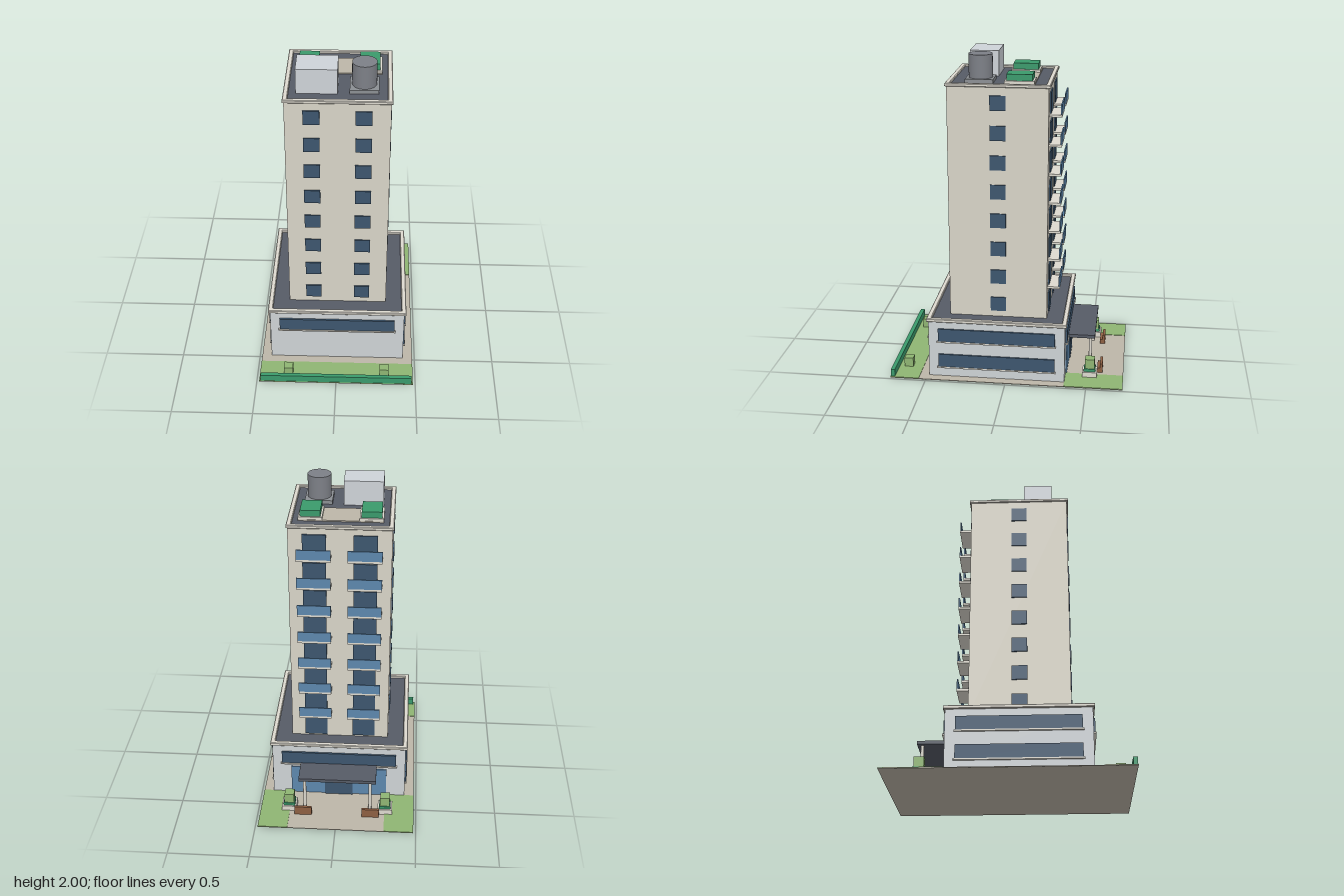
import * as THREE from 'three';

const COLORS = {
  tower: 0xd8d4c7, podium: 0xced3d6, trim: 0xdedad0, window: 0x3d566e, glass: 0x5d87ad,
  roof: 0x565b66, paving: 0xbdb6a8, lawn: 0x8fb573, hedge: 0x3a9a6c, wood: 0x8d5f42,
  unit: 0xced3d8, tank: 0x7d8087, plinth: 0x8c9094,
};
const mats = {};
for (const key in COLORS) mats[key] = new THREE.MeshStandardMaterial({ color: COLORS[key] });

export function createModel() {
  const model = new THREE.Group();
  model.name = 'towerBlock';

  const group = (name) => {
    const g = new THREE.Group();
    g.name = name;
    model.add(g);
    return g;
  };
  // box given by its minimum and maximum corners
  const box = (parent, name, mat, x0, x1, y0, y1, z0, z1) => {
    const mesh = new THREE.Mesh(new THREE.BoxGeometry(x1 - x0, y1 - y0, z1 - z0), mats[mat]);
    mesh.position.set((x0 + x1) / 2, (y0 + y1) / 2, (z0 + z1) / 2);
    mesh.name = name;
    parent.add(mesh);
    return mesh;
  };
  const cylinder = (parent, name, mat, r, x, y0, y1, z, sides) => {
    const mesh = new THREE.Mesh(new THREE.CylinderGeometry(r, r, y1 - y0, sides), mats[mat]);
    mesh.position.set(x, (y0 + y1) / 2, z);
    mesh.name = name;
    parent.add(mesh);
  };
  // bevelled parapet frame, hx and hz are half sizes of the outer edge
  const parapet = (parent, name, hx, hz, width, y0, y1, zc) => {
    const b = 0.004;
    const rect = (P, x, z) => {
      const p = new P();
      p.moveTo(-x, -z).lineTo(x, -z).lineTo(x, z).lineTo(-x, z).closePath();
      return p;
    };
    const shape = rect(THREE.Shape, hx - b, hz - b);
    shape.holes.push(rect(THREE.Path, hx - width + b, hz - width + b));
    const geo = new THREE.ExtrudeGeometry(shape, {
      depth: y1 - y0 - 2 * b, bevelEnabled: true, bevelSize: b, bevelThickness: b, bevelSegments: 1,
    });
    geo.rotateX(-Math.PI / 2);
    const mesh = new THREE.Mesh(geo, mats.trim);
    mesh.position.set(0, y0 + b, zc);
    mesh.name = name;
    parent.add(mesh);
  };

  // site: paving, lawns, front hedge and shrubs
  const site = group('site');
  box(site, 'paving', 'paving', -0.485, 0.485, 0, 0.004, -0.725, 0.725);
  box(site, 'frontLawn', 'lawn', -0.485, 0.485, 0.004, 0.007, 0.545, 0.725);
  box(site, 'frontHedge', 'hedge', -0.475, 0.475, 0.004, 0.052, 0.697, 0.723);
  for (const s of [-1, 1]) {
    const c = s * 0.303;
    box(site, 'sideLawn', 'lawn', s * 0.3925 - 0.0925, s * 0.3925 + 0.0925, 0.004, 0.007, -0.725, -0.362);
    box(site, 'shrub', 'lawn', c - 0.028, c + 0.028, 0.004, 0.065, 0.61, 0.666);

    // entrance planters and benches
    box(site, 'planterBox', 'trim', c - 0.046, c + 0.046, 0.004, 0.04, -0.561, -0.469);
    box(site, 'planterHedge', 'hedge', c - 0.036, c + 0.036, 0.04, 0.058, -0.551, -0.479);
    box(site, 'planterShrub', 'lawn', c - 0.03, c + 0.03, 0.058, 0.12, -0.545, -0.485);
    const b = s * 0.2125;
    box(site, 'benchSeat', 'wood', b - 0.054, b + 0.054, 0.004, 0.035, -0.577, -0.56);
    box(site, 'benchBack', 'wood', b - 0.054, b + 0.054, 0.004, 0.062, -0.593, -0.577);
  }

  // podium
  const podium = group('podium');
  const PX = 0.424, PF = 0.487, PB = -0.363;
  box(podium, 'podiumWalls', 'podium', -PX, PX, 0.004, 0.37, PB, PF);
  box(podium, 'podiumRoof', 'roof', -0.41, 0.41, 0.37, 0.376, -0.348, 0.472);
  parapet(podium, 'podiumParapet', 0.436, 0.436, 0.03, 0.37, 0.392, 0.062);

  // ribbon windows with sills
  const ribbon = (y0, y1, side) => {
    if (side === 'front' || side === 'back') {
      const [a, d] = side === 'front' ? [PF, 1] : [PB, -1];
      const z = (t) => [Math.min(a, a + d * t), Math.max(a, a + d * t)];
      box(podium, 'ribbonWindow', 'window', -0.364, 0.364, y0, y1, ...z(0.012));
      box(podium, 'ribbonSill', 'trim', -0.372, 0.372, y0 - 0.009, y0, ...z(0.018));
    } else {
      const d = side === 'left' ? 1 : -1;
      const x = (t) => [Math.min(d * PX, d * (PX + t)), Math.max(d * PX, d * (PX + t))];
      box(podium, 'ribbonWindow', 'window', ...x(0.01), y0, y1, -0.302, 0.426);
      box(podium, 'ribbonSill', 'trim', ...x(0.014), y0 - 0.009, y0, -0.31, 0.434);
    }
  };
  for (const side of ['front', 'back', 'left', 'right']) ribbon(0.242, 0.325, side);
  for (const side of ['left', 'right']) ribbon(0.07, 0.154, side);

  // entrance: glazing, doors, canopy on two posts
  const entrance = group('entrance');
  box(entrance, 'lobbyGlass', 'glass', -0.305, 0.305, 0.01, 0.21, -0.371, PB);
  box(entrance, 'entranceDoor', 'window', -0.09, 0.09, 0.008, 0.175, -0.377, PB);
  box(entrance, 'canopy', 'roof', -0.243, 0.243, 0.225, 0.246, -0.541, PB);
  for (const s of [-1, 1]) cylinder(entrance, 'canopyPost', 'trim', 0.01, s * 0.207, 0.004, 0.225, -0.512, 12);

  // tower
  const tower = group('tower');
  const TX = 0.306, TF = 0.367, TB = -0.24;
  box(tower, 'towerWalls', 'tower', -TX, TX, 0.37, 1.83, TB, TF);
  box(tower, 'towerRoof', 'roof', -0.295, 0.295, 1.83, 1.835, -0.23, 0.357);
  parapet(tower, 'towerParapet', 0.314, 0.314, 0.029, 1.828, 1.848, 0.063);

  // windows, balcony doors and balconies per storey
  for (let i = 0; i < 8; i++) {
    const y = 0.46 + i * 0.182;
    for (const s of [-1, 1]) {
      const c = s * 0.151;
      box(tower, 'frontWindow', 'window', c - 0.048, c + 0.048, y - 0.045, y + 0.045, TF, TF + 0.008);
      const wx = s * (TX + 0.004);
      box(tower, 'sideWindow', 'window', wx - 0.004, wx + 0.004, y - 0.045, y + 0.045, 0.015, 0.11);
      box(tower, 'balconyDoor', 'window', c - 0.07, c + 0.07, y - 0.072, y + 0.056, TB - 0.008, TB);
      if (i > 0) {
        box(tower, 'balconySlab', 'trim', c - 0.101, c + 0.101, y - 0.088, y - 0.074, -0.315, TB);
        box(tower, 'balconyGlass', 'glass', c - 0.101, c + 0.101, y - 0.074, y - 0.012, -0.315, -0.307);
      }
    }
  }

  // rooftop: terrace, planters, plant room and water tank
  const roof = group('rooftop');
  box(roof, 'terrace', 'paving', -0.252, 0.252, 1.835, 1.842, -0.152, 0.033);
  for (const s of [-1, 1]) {
    const c = s * 0.181;
    box(roof, 'roofPlanter', 'trim', c - 0.071, c + 0.071, 1.835, 1.857, -0.149, 0.029);
    box(roof, 'roofHedge', 'hedge', c - 0.06, c + 0.06, 1.857, 1.895, -0.138, 0.018);
  }
  box(roof, 'plantRoom', 'unit', -0.243, -0.002, 1.835, 1.99, 0.094, 0.272);
  box(roof, 'tankPlinth', 'plinth', 0.066, 0.234, 1.835, 1.858, 0.099, 0.267);
  cylinder(roof, 'waterTank', 'tank', 0.072, 0.15, 1.858, 2, 0.183, 32);

  return model;
}
